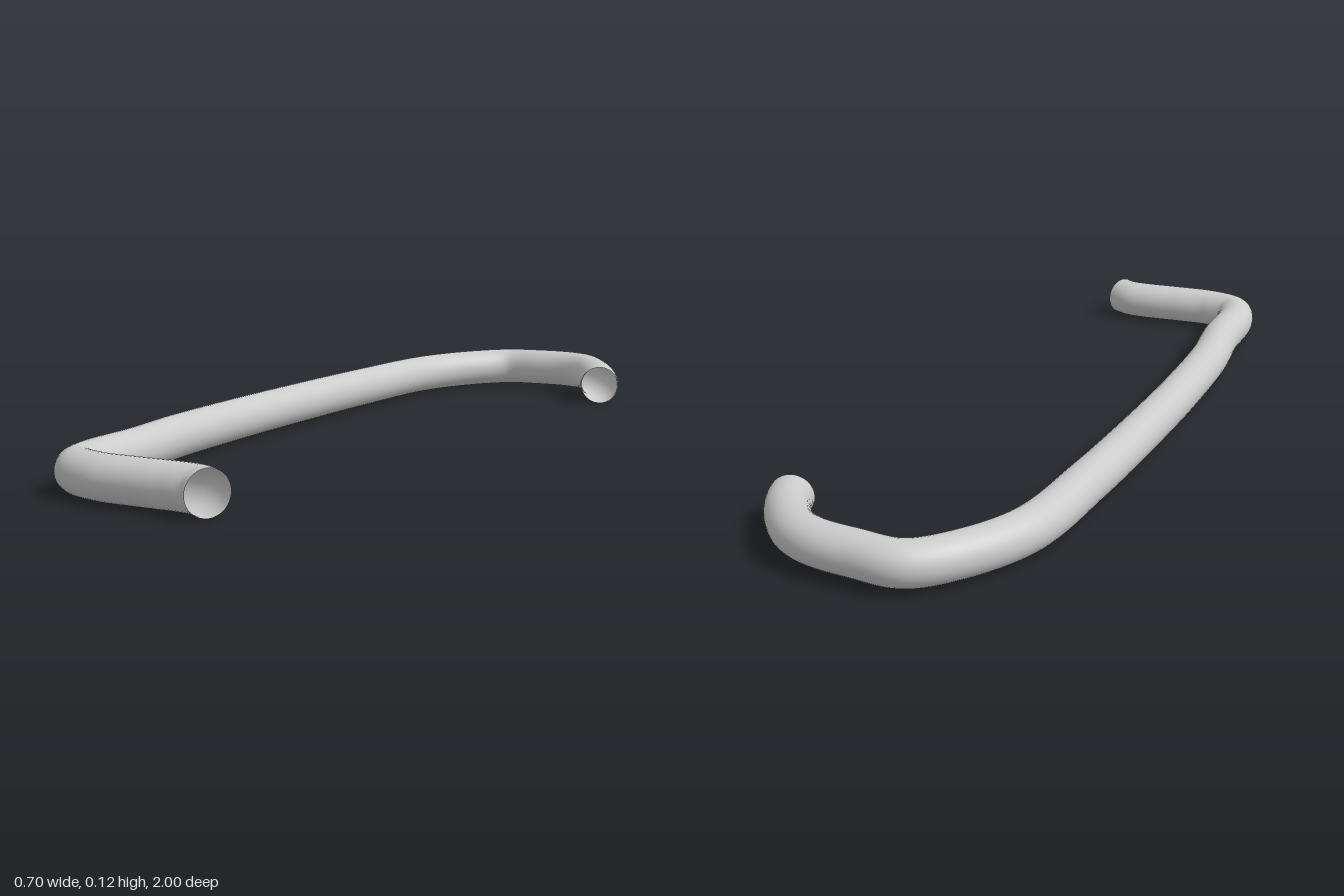
import * as THREE from 'three';

export function createModel() {
  const group = new THREE.Group();
  group.name = 'bentPipe';

  // Centre line, from the hooked back end to the short front end
  const path = new THREE.CatmullRomCurve3([
    [0.3, 0.053, -0.745],
    [0.289, 0.054, -0.775],
    [0.25, 0.058, -0.84],
    [0.185, 0.063, -0.91],
    [0.12, 0.063, -0.938],
    [0.02, 0.061, -0.946],
    [-0.09, 0.057, -0.94],
    [-0.18, 0.055, -0.85],
    [-0.258, 0.053, -0.69],
    [-0.285, 0.053, -0.4],
    [-0.298, 0.053, 0],
    [-0.298, 0.053, 0.25],
    [-0.288, 0.053, 0.5],
    [-0.266, 0.053, 0.68],
    [-0.258, 0.053, 0.85],
    [-0.232, 0.053, 0.915],
    [-0.15, 0.053, 0.941],
    [-0.05, 0.053, 0.938],
    [0.05, 0.053, 0.931],
    [0.11, 0.053, 0.934],
    [0.143, 0.053, 0.952],
  ].map((p) => new THREE.Vector3(...p)), false, 'centripetal');

  // Hollow tube, open at both ends
  const pipe = new THREE.Mesh(
    new THREE.TubeGeometry(path, 160, 0.053, 32, false),
    new THREE.MeshStandardMaterial({ color: 0xcccccc, side: THREE.DoubleSide })
  );
  pipe.name = 'pipe';
  group.add(pipe);
  return group;
}
